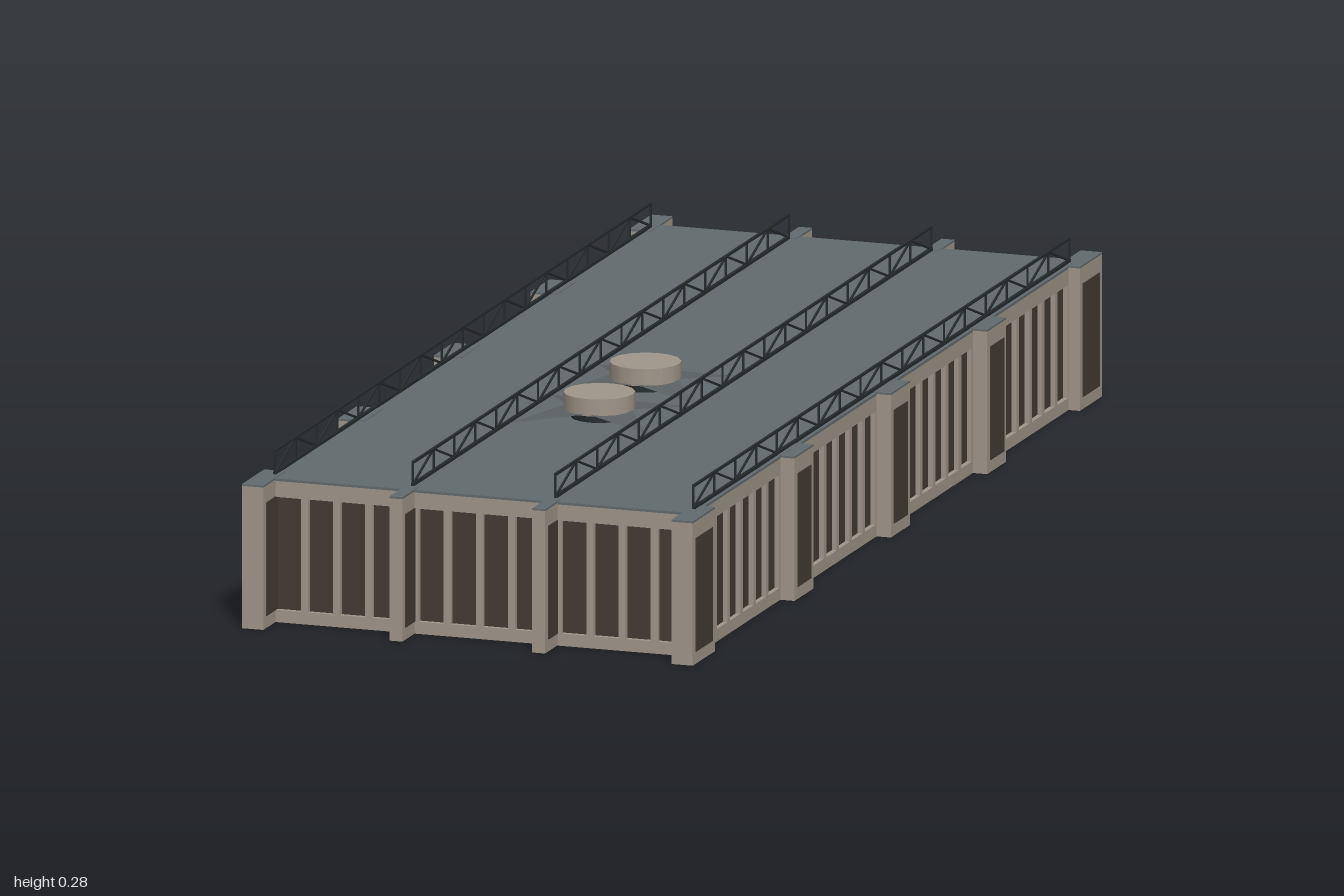
import * as THREE from 'three';

const mat = (name, hex, extra = {}) => {
  const m = new THREE.MeshStandardMaterial({ color: hex, ...extra });
  m.name = name;
  return m;
};

export function createModel() {
  const stone = mat('pale stone', 0xa0968a);
  const glass = mat('dark panel', 0x443b33);
  const roofGrey = mat('roof slate', 0x626a6e);
  const steel = mat('dark steel', 0x252b2d);
  const fabric = mat('canopy grey', 0x5b6162, { side: THREE.DoubleSide });

  const model = new THREE.Group();
  model.name = 'hall';
  const hall = new THREE.Group();
  hall.name = 'rotatedHall';
  hall.rotation.y = THREE.MathUtils.degToRad(37);
  model.add(hall);

  const L = 0.91, W = 0.36, H = 0.235; // half length, half width, height

  function box(name, material, sx, sy, sz, x, y, z, parent = hall) {
    const m = new THREE.Mesh(new THREE.BoxGeometry(sx, sy, sz), material);
    m.name = name;
    m.position.set(x, y, z);
    parent.add(m);
    return m;
  }

  // Body: plinth, recessed dark core, top band, roof
  box('plinth', stone, 2 * L, 0.02, 2 * W, 0, 0.01, 0);
  box('panelCore', glass, 2 * L - 0.016, 0.19, 2 * W - 0.016, 0, 0.112, 0);
  box('topBand', stone, 2 * L, 0.026, 2 * W, 0, 0.217, 0);
  box('roof', roofGrey, 2 * L, 0.004, 2 * W, 0, 0.232, 0);

  // Pier: stone block, slate cap and dark plates on its two broad faces
  function pier(name, sx, sz, x, z) {
    const g = new THREE.Group();
    g.name = name;
    g.position.set(x, 0, z);
    hall.add(g);
    box('pierBlock', stone, sx, H - 0.003, sz, 0, (H - 0.003) / 2, 0, g);
    box('pierCap', roofGrey, sx, 0.003, sz, 0, H - 0.0015, 0, g);
    for (const s of [-1, 1])
      box('pierPanel', glass, sx - 0.026, 0.185, 0.002, 0, 0.1125, s * (sz / 2 + 0.0005), g);
  }

  for (const s of [-1, 1]) {
    for (const e of [-1, 1]) {
      pier('cornerPier', 0.105, 0.036, e * 0.9145, s * 0.361);
      pier('endFin', 0.075, 0.022, e * 0.93, s * 0.12);
    }
    for (const u of [-0.455, 0, 0.455]) pier('sidePier', 0.09, 0.045, u, s * 0.3615);

    // Mullions on the long walls: four bays of six panels
    for (let bay = 0; bay < 4; bay++) {
      const a = -0.91 + bay * 0.455 + 0.045;
      for (let i = 0; i <= 6; i++)
        box('sideMullion', stone, 0.012, 0.19, 0.012, a + (i * 0.365) / 6, 0.112, s * (W - 0.006));
    }
    // Mullions on the end walls: three bays of four panels
    for (let bay = 0; bay < 3; bay++) {
      const a = -0.36 + bay * 0.24 + 0.012;
      for (let i = 0; i <= 4; i++)
        box('endMullion', stone, 0.012, 0.19, 0.012, s * (L - 0.006), 0.112, a + i * 0.054);
    }
  }

  // Roof trusses: chords, posts and zigzag bracing
  const yLow = 0.237, yTop = 0.273, half = 0.888, panels = 18;
  function bar(parent, x0, y0, x1, y1, t = 0.003) {
    const m = box('trussBar', steel, Math.hypot(x1 - x0, y1 - y0), t, t, (x0 + x1) / 2, (y0 + y1) / 2, 0, parent);
    m.rotation.z = Math.atan2(y1 - y0, x1 - x0);
  }
  for (const v of [-0.352, -0.12, 0.12, 0.352]) {
    const truss = new THREE.Group();
    truss.name = 'roofTruss';
    truss.position.z = v;
    hall.add(truss);
    bar(truss, -half, yTop, half, yTop, 0.004);
    bar(truss, -half, yLow, half, yLow, 0.005);
    for (let i = 0; i <= panels; i++) {
      const x = -half + (2 * half * i) / panels;
      bar(truss, x, yLow, x, yTop);
      if (i === panels) break;
      const x2 = x + (2 * half) / panels;
      if (i % 2) bar(truss, x, yTop, x2, yLow);
      else bar(truss, x, yLow, x2, yTop);
    }
  }

  // Two raised drums, each with four pointed canopies reaching the trusses
  for (const u of [-0.343, -0.125]) {
    const unit = new THREE.Group();
    unit.name = 'roofDrum';
    unit.position.set(u, 0, 0);
    hall.add(unit);
    const drum = new THREE.Mesh(new THREE.CylinderGeometry(0.057, 0.057, 0.028, 16), stone);
    drum.name = 'drum';
    drum.position.y = 0.261;
    unit.add(drum);
    const stem = new THREE.Mesh(new THREE.CylinderGeometry(0.045, 0.045, 0.016, 16), steel);
    stem.name = 'drumBase';
    stem.position.y = 0.241;
    unit.add(stem);
    for (let k = 0; k < 4; k++) {
      const g = new THREE.BufferGeometry();
      g.setAttribute('position', new THREE.Float32BufferAttribute(
        [0, 0.25, 0.055, 0.1, 0.237, 0.115, 0.055, 0.25, 0].map((n, i) => (k % 2 && i % 3 === 0 ? -n : n) * (k > 1 && i % 3 === 2 ? -1 : 1)), 3));
      if (k === 1 || k === 2) g.setIndex([0, 2, 1]); // keep mirrored faces upward
      else g.setIndex([0, 1, 2]);
      g.computeVertexNormals();
      const leaf = new THREE.Mesh(g, fabric);
      leaf.name = 'canopyLeaf';
      unit.add(leaf);
    }
  }
  return model;
}
